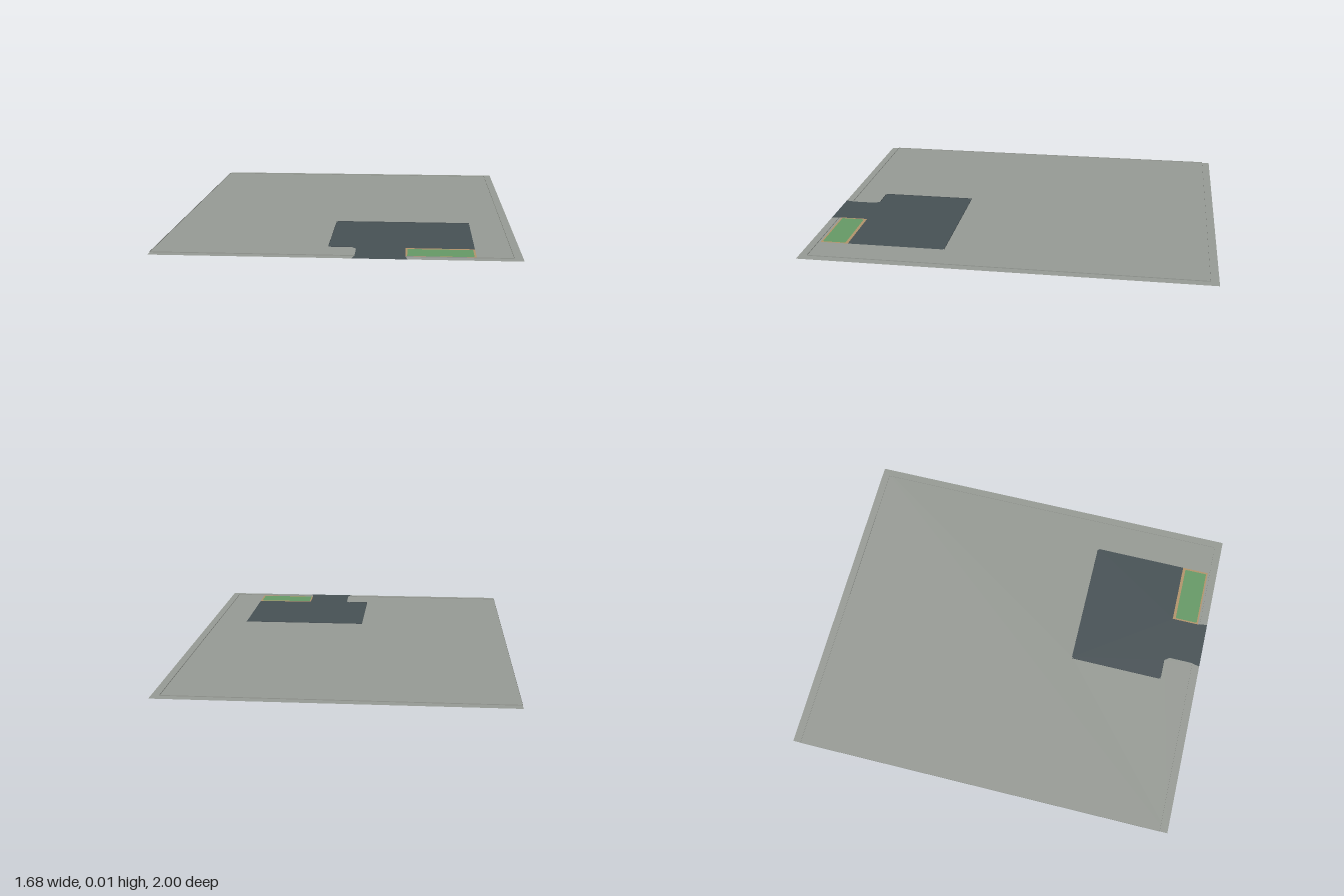
import * as THREE from 'three';

const TOP = 0.005; // height of the ground surface
const RIM = 0.009; // height of the thin upright kerbs

function material(name, color) {
  const m = new THREE.MeshStandardMaterial({ color, side: THREE.DoubleSide });
  m.name = name;
  return m;
}

// Shape from [x, z] points, laid flat with its face up
const toVectors = (points) => points.map(([x, z]) => new THREE.Vector2(x, -z));

function flatPart(name, points, mat, hole) {
  const shape = new THREE.Shape(toVectors(points));
  if (hole) shape.holes.push(new THREE.Path(toVectors(hole)));
  const mesh = new THREE.Mesh(new THREE.ShapeGeometry(shape).rotateX(-Math.PI / 2), mat);
  mesh.name = name;
  mesh.position.y = TOP;
  return mesh;
}

// Upright strip without thickness between two [x, z] points
function kerb(name, [x1, z1], [x2, z2], mat, bottom = 0, top = RIM) {
  const length = Math.hypot(x2 - x1, z2 - z1);
  const mesh = new THREE.Mesh(new THREE.PlaneGeometry(length, top - bottom), mat);
  mesh.name = name;
  mesh.position.set((x1 + x2) / 2, (bottom + top) / 2, (z1 + z2) / 2);
  mesh.rotation.y = -Math.atan2(z2 - z1, x2 - x1);
  return mesh;
}

const rectangle = (x1, z1, x2, z2) => [[x1, z1], [x2, z1], [x2, z2], [x1, z2]];

export function createModel() {
  const model = new THREE.Group();
  model.name = 'plot';
  const concrete = material('concrete grey', 0x959993);
  const asphalt = material('asphalt', 0x465054);
  const grass = material('grass green', 0x659865);
  const edging = material('tan edging', 0xb0926a);

  // Left-hand outline of the driveway neck, from the street inwards
  const neck = [[0.08, 1], [0.09, 0.95], [0.09, 0.835], [0.07, 0.81]];
  const yard = [[-0.03, 0.81], [-0.04, 0.8], [-0.04, 0.33], [-0.03, 0.32],
    [0.625, 0.32], [0.635, 0.33]];

  // Paving with an opening for the yard, driveway and lawn
  model.add(flatPart('paving', [
    [-0.84, 1], ...neck, ...yard, [0.635, 0.95], [0.318, 0.95], [0.328, 1],
    [0.84, 1], [0.84, -1], [-0.84, -1],
  ], concrete));

  // Parking yard and driveway
  model.add(flatPart('driveway', [
    ...neck, ...yard, [0.635, 0.81], [0.318, 0.81], [0.318, 0.95], [0.328, 1],
  ], asphalt));

  // Lawn with its edging
  const lawn = rectangle(0.326, 0.825, 0.626, 0.942);
  model.add(flatPart('lawnEdging', rectangle(0.318, 0.81, 0.635, 0.95), edging, lawn));
  model.add(flatPart('lawn', lawn, grass));

  // Kerbs along the plot boundary
  const boundary = [
    [[-0.84, -0.96], [-0.84, 0.96]],
    [[-0.84, 0.96], [0.09, 0.96]],
    [[0.32, 0.96], [0.8, 0.96]],
    [[0.8, 0.96], [0.8, -0.96]],
    [[0.8, -0.96], [-0.84, -0.96]],
  ];
  for (const [a, b] of boundary) model.add(kerb('boundaryKerb', a, b, concrete));

  // Kerbs around the yard
  for (const [a, b] of [
    [[-0.04, 0.32], [0.635, 0.32]],
    [[-0.04, 0.32], [-0.04, 0.81]],
    [[-0.04, 0.81], [0.07, 0.81]],
  ]) model.add(kerb('yardKerb', a, b, asphalt));

  // Footing strips on the underside, beside the yard
  for (const [a, b] of [
    [[-0.04, 0.32], [-0.8, 0.32]],
    [[-0.8, 0.32], [-0.8, 0.82]],
    [[-0.8, 0.82], [0.06, 0.82]],
  ]) model.add(kerb('footing', a, b, concrete, 0, TOP));

  return model;
}
